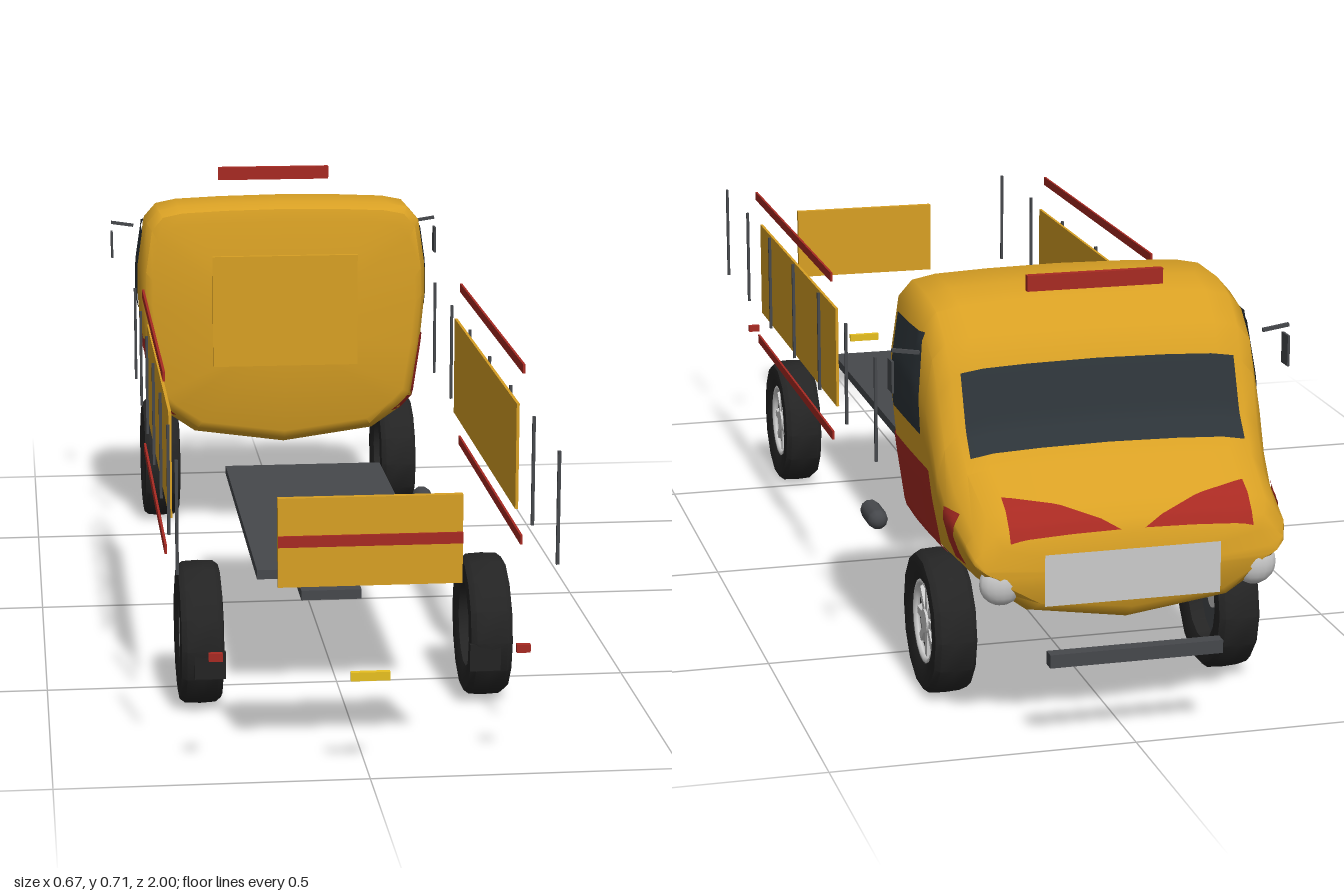
import * as THREE from 'three';
import { toCreasedNormals } from 'three/addons/utils/BufferGeometryUtils.js';

const YELLOW = 0xd8a024, RED = 0xa82a22, DARK = 0x46484c, TYRE = 0x242424, GLASS = 0x2c3338, LIGHT = 0xcccccc;
const mat = (color, side = THREE.FrontSide) => new THREE.MeshStandardMaterial({ color, side });

function add(parent, name, geometry, color, side) {
  const m = new THREE.Mesh(geometry, mat(color, side));
  m.name = name;
  parent.add(m);
  return m;
}
// box given by its min and max on each axis
function box(parent, name, color, [x0, x1], [y0, y1], [z0, z1]) {
  const m = add(parent, name, new THREE.BoxGeometry(x1 - x0, y1 - y0, z1 - z0), color);
  m.position.set((x0 + x1) / 2, (y0 + y1) / 2, (z0 + z1) / 2);
  return m;
}

// cab stations from back to nose: z, width scale, roof height, floor height, belly scale
const STATIONS = [
  [-0.49, 0.92, 0.645, 0.215, 0.9], [-0.496, 0.965, 0.668, 0.2, 1], [-0.52, 1, 0.679, 0.188, 1],
  [-0.62, 1, 0.678, 0.185, 1], [-0.685, 0.995, 0.663, 0.185, 1], [-0.738, 0.985, 0.624, 0.185, 1],
  [-0.767, 0.975, 0.572, 0.185, 1], [-0.8, 0.965, 0.49, 0.185, 1], [-0.845, 0.95, 0.434, 0.185, 1],
  [-0.936, 0.92, 0.39, 0.195, 1], [-0.958, 0.89, 0.366, 0.205, 0.85], [-0.97, 0.84, 0.345, 0.222, 0.7],
];

// half outline of the cab at z, from roof centre down to floor centre
function half(z) {
  let i = 0;
  while (i < STATIONS.length - 2 && z < STATIONS[i + 1][0]) i++;
  const a = STATIONS[i], b = STATIONS[i + 1];
  const k = THREE.MathUtils.clamp((z - a[0]) / (b[0] - a[0]), 0, 1);
  const [, s, T, B, q] = a.map((v, j) => v + (b[j] - v) * k);
  const low = y => B + (y - 0.185) * q;
  const mid = f => THREE.MathUtils.lerp(low(0.275), T - 0.04, f);
  return [[0, T], [0.12, T - 0.002], [0.21, T - 0.006], [0.25, T - 0.014], [0.273, T - 0.04],
    [0.286, mid(0.75)], [0.287, mid(0.58)], [0.277, mid(0.3)], [0.261, low(0.275)],
    [0.235, low(0.248)], [0.18, low(0.21)], [0, low(0.185)]].map(([x, y]) => [x * s, y]);
}
// half width of the cab at a height, and height of its upper skin at an x
function sideX(z, y) {
  const p = half(z);
  for (let i = 0; i < p.length - 1; i++)
    if (y <= p[i][1] && y >= p[i + 1][1])
      return THREE.MathUtils.mapLinear(y, p[i][1], p[i + 1][1], p[i][0], p[i + 1][0]);
  return 0;
}
function topY(z, x) {
  const p = half(z);
  for (let i = 0; i < 4; i++)
    if (Math.abs(x) <= p[i + 1][0])
      return THREE.MathUtils.mapLinear(Math.abs(x), p[i][0], p[i + 1][0], p[i][1], p[i + 1][1]);
  return p[4][1];
}

function cabShell() {
  const rings = STATIONS.map(([z]) => {
    const h = half(z);
    return [...h, ...h.slice(1, -1).reverse().map(([x, y]) => [-x, y])].map(([x, y]) => [x, y, z]);
  });
  const n = rings[0].length, pos = [];
  const tri = (...c) => c.forEach(v => pos.push(...v));
  for (let i = 0; i < rings.length - 1; i++)
    for (let j = 0; j < n; j++) {
      const k = (j + 1) % n, a = rings[i], b = rings[i + 1];
      tri(a[j], a[k], b[k]);
      tri(a[j], b[k], b[j]);
    }
  // end caps
  const back = rings[0], nose = rings[rings.length - 1];
  for (let j = 0; j < n; j++) {
    const k = (j + 1) % n;
    tri([0, 0.42, back[0][2]], back[k], back[j]);
    tri([0, 0.28, nose[0][2]], nose[j], nose[k]);
  }
  const g = new THREE.BufferGeometry();
  g.setAttribute('position', new THREE.Float32BufferAttribute(pos, 3));
  return toCreasedNormals(g, 0.75);
}

// thin curved panel from a rule (u, v) -> [x, y, z]
function patch(parent, name, color, rule, n = 12) {
  const g = new THREE.PlaneGeometry(1, 1, n, n), p = g.attributes.position;
  for (let i = 0; i < p.count; i++) p.setXYZ(i, ...rule(p.getX(i) + 0.5, p.getY(i) + 0.5));
  g.computeVertexNormals();
  return add(parent, name, g, color, THREE.DoubleSide);
}

function wheel(name, side, z) {
  const g = new THREE.Group();
  g.name = name;
  const profile = [[0.072, -0.03], [0.095, -0.037], [0.113, -0.035], [0.12, -0.026], [0.1215, 0],
    [0.12, 0.026], [0.113, 0.035], [0.095, 0.037], [0.072, 0.03], [0.07, 0], [0.072, -0.03]];
  const tyre = new THREE.LatheGeometry(profile.map(p => new THREE.Vector2(...p)), 14);
  add(g, 'tyre', toCreasedNormals(tyre, 0.7), TYRE, THREE.DoubleSide);
  add(g, 'wheelDisc', new THREE.CylinderGeometry(0.071, 0.071, 0.012, 14), DARK);
  const ring = add(g, 'rimRing', new THREE.TorusGeometry(0.068, 0.006, 6, 20), LIGHT);
  ring.rotation.x = Math.PI / 2;
  ring.position.y = -0.024;
  add(g, 'hub', new THREE.CylinderGeometry(0.02, 0.02, 0.04, 12), LIGHT).position.y = -0.008;
  for (let i = 0; i < 8; i++) {
    const a = i * Math.PI / 4;
    const s = add(g, 'spoke', new THREE.BoxGeometry(0.056, 0.01, 0.013), LIGHT);
    s.position.set(Math.cos(a) * 0.041, -0.019, Math.sin(a) * 0.041);
    s.rotation.y = -a;
  }
  g.rotation.z = side * Math.PI / 2;
  g.position.set(side * 0.243, 0.1215, z);
  return g;
}

export function createModel() {
  const truck = new THREE.Group();
  truck.name = 'truck';

  // cab
  const cab = new THREE.Group();
  cab.name = 'cab';
  truck.add(cab);
  add(cab, 'cabShell', cabShell(), YELLOW);
  patch(cab, 'windshield', GLASS, (u, v) => {
    const z = -0.765 - 0.065 * v, x = (u - 0.5) * 0.46;
    return [x, topY(z, x) + 0.003, z - 0.005];
  });
  patch(cab, 'grille', LIGHT, (u, v) => [(u - 0.5) * 0.29, 0.235 + 0.085 * v, -0.974], 1);
  box(cab, 'lightBar', RED, [-0.114, 0.114], [0.69, 0.716], [-0.75, -0.738]);
  box(cab, 'frontBumper', DARK, [-0.143, 0.143], [0.141, 0.163], [-1, -0.978]);
  box(cab, 'headboard', YELLOW, [-0.145, 0.145], [0.355, 0.578], [-0.477, -0.467]);

  for (const s of [-1, 1]) {
    const onSide = (z, y, off = 0.003) => [s * (sideX(z, y) + off), y, z];
    patch(cab, 'sideWindow', GLASS, (u, v) =>
      onSide(-0.548 - u * (0.185 - 0.035 * v), 0.46 + 0.16 * v, 0.005));
    patch(cab, 'doorPanel', RED, (u, v) => onSide(-0.502 - u * 0.253, 0.25 + 0.155 * v));
    patch(cab, 'sideMarker', RED, (u, v) => onSide(-0.838 - u * 0.048, 0.285 + 0.085 * v));
    patch(cab, 'noseStripe', RED, (u, v) => {
      const x = s * (0.02 + 0.18 * u), z = -0.968 + 0.06 * u * v;
      return [x, topY(z, x) + 0.004, z - 0.003];
    });
    const lamp = add(cab, 'headlight', new THREE.SphereGeometry(0.036, 16, 10), 0xe8e8e8);
    lamp.scale.z = 0.6;
    lamp.position.set(s * 0.21, 0.272, -0.95);
    // mirror and its arm
    const arm = add(cab, 'mirrorArm', new THREE.BoxGeometry(0.046, 0.006, 0.006), DARK);
    arm.position.set(s * 0.313, 0.602, -0.74);
    arm.rotation.z = s * 0.15;
    box(cab, 'mirror', DARK, [s * 0.335 - 0.002, s * 0.335 + 0.002], [0.535, 0.587], [-0.745, -0.715]);
  }

  // load bed
  box(truck, 'bedFloor', DARK, [-0.147, 0.147], [0.224, 0.24], [-0.11, 0.615]);
  box(truck, 'chassisBeam', DARK, [-0.053, 0.053], [0.126, 0.143], [-0.225, 0.415]);
  const tank = add(truck, 'fuelTank', new THREE.CapsuleGeometry(0.019, 0.056, 4, 10), DARK);
  tank.rotation.x = Math.PI / 2;
  tank.position.set(0.241, 0.148, -0.173);

  // side boards, rails and posts
  for (const s of [-1, 1]) {
    const at = (x, t) => [s * x - t / 2, s * x + t / 2];
    box(truck, 'sideBoard', YELLOW, at(0.291, 0.005), [0.336, 0.518], [-0.105, 0.62]);
    for (const y of [0.577, 0.282])
      box(truck, 'sideRail', RED, at(0.3, 0.004), [y - 0.008, y + 0.008], [-0.105, 0.62]);
    for (let i = 0; i < 7; i++) {
      const z = -0.46 + i * 0.237;
      box(truck, 'sidePost', DARK, at(0.3, 0.005), [0.336, 0.52], [z - 0.003, z + 0.003]);
    }
    box(truck, 'tailLight', RED, at(0.243, 0.022), [0.202, 0.215], [0.985, 0.995]);
    box(truck, 'mudFlap', TYRE, at(0.231, 0.052), [0.074, 0.12], [0.676, 0.686]);
    truck.add(wheel('frontWheel', s, -0.68), wheel('rearWheel', s, 0.567));
  }

  // tailgate and plate
  box(truck, 'tailgate', YELLOW, [-0.145, 0.145], [0.318, 0.461], [0.979, 0.99]);
  box(truck, 'tailgateStripe', RED, [-0.145, 0.145], [0.383, 0.401], [0.986, 0.994]);
  box(truck, 'rearPlate', 0xe8c020, [-0.031, 0.031], [0.165, 0.179], [0.99, 1]);

  return truck;
}
